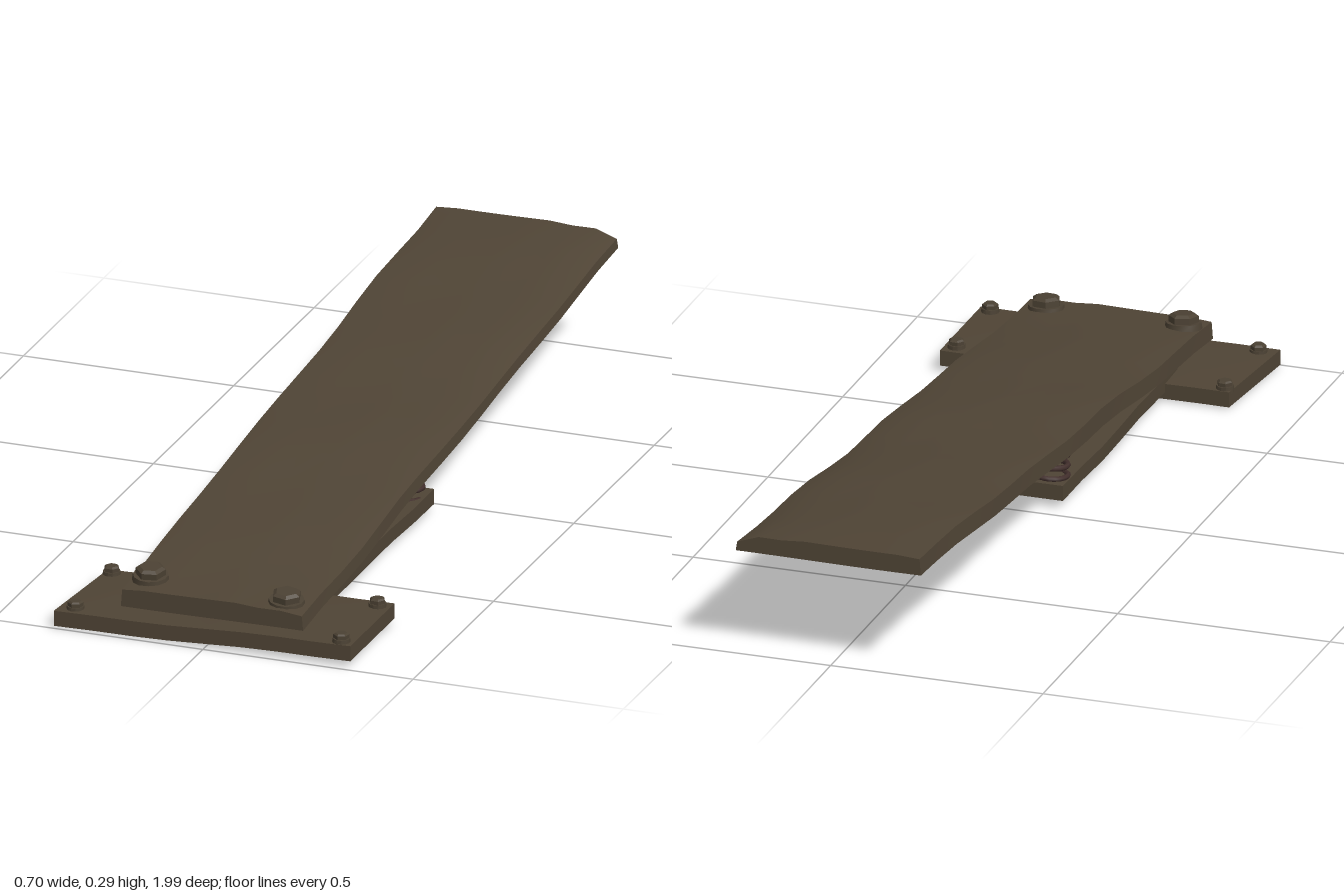
import * as THREE from 'three';
import { toCreasedNormals } from 'three/addons/utils/BufferGeometryUtils.js';

const brown = new THREE.MeshStandardMaterial({ color: 0x4f4435 });
brown.name = 'worn brown';
const bolts = new THREE.MeshStandardMaterial({ color: 0x4b4133 });
bolts.name = 'bolt brown';
const rust = new THREE.MeshStandardMaterial({ color: 0x43302d });
rust.name = 'dark rust';

// Subdivided box whose vertices are moved by a rule
function slab(name, w, h, d, nx, nz, rule) {
  const g = new THREE.BoxGeometry(w, h, d, nx, 1, nz);
  const p = g.attributes.position;
  const v = new THREE.Vector3();
  for (let i = 0; i < p.count; i++) {
    rule(v.fromBufferAttribute(p, i));
    p.setXYZ(i, v.x, v.y, v.z);
  }
  const mesh = new THREE.Mesh(toCreasedNormals(g, 0.5), brown);
  mesh.name = name;
  return mesh;
}

// Hexagonal head on a round flange
function bolt(name, headR, headH, flangeR, flangeH) {
  const group = new THREE.Group();
  group.name = name;
  const add = (part, r0, r1, h, n, y) => {
    const g = toCreasedNormals(new THREE.CylinderGeometry(r0, r1, h, n), 0.6);
    const m = new THREE.Mesh(g, bolts);
    m.name = part;
    m.position.y = y + h / 2;
    group.add(m);
  };
  add('washer', flangeR * 0.93, flangeR, flangeH + 0.01, 12, -0.01);
  add('hexHead', headR, headR, headH * 0.7, 6, flangeH);
  add('headCrown', headR * 0.75, headR, headH * 0.3, 6, flangeH + headH * 0.7);
  return group;
}

const plankBottom = (z) => 0.064 + (0.96 - z) * 0.0955;

// Coil wound around the vertical axis
class Coil extends THREE.Curve {
  getPoint(t, out = new THREE.Vector3()) {
    const a = t * Math.PI * 2 * 4;
    return out.set(0.041 * Math.cos(a), 0.05 + 0.1 * t, 0.041 * Math.sin(a));
  }
}

export function createModel() {
  const model = new THREE.Group();
  model.name = 'pedal';

  // Long sloping plank, slightly warped, with worn long edges
  model.add(slab('plank', 0.436, 0.044, 1.96, 8, 16, (v) => {
    const edge = Math.abs(v.x) > 0.2;
    const top = v.y > 0;
    const back = (0.98 - v.z) / 1.96;
    v.z -= 0.02;
    const wave = 0.003 * Math.sin(v.z * 7) + 0.002 * Math.sin(v.z * 13 + v.x * 9);
    v.y = plankBottom(v.z) + (top ? 0.044 : 0) + wave * (top ? 1 : 0.6);
    if (top && edge) v.y -= v.x > 0 ? 0.006 + 0.012 * back : 0.004;
    if (top && v.x > 0.1) v.y -= 0.005;
    v.x += 0.006 + (edge ? 0.003 * Math.sin(v.z * 11 + v.x * 8) : 0);
    if (top && edge) v.x *= 0.985;
  }));

  // Mounting plate, gently twisted, narrower on one back corner
  model.add(slab('basePlate', 0.69, 0.04, 0.275, 8, 3, (v) => {
    const rim = Math.abs(v.x) > 0.3 || Math.abs(v.z) > 0.13;
    const top = v.y > 0;
    const side = v.x / 0.345;
    if (v.x < -0.3) v.x -= 0.012 * (v.z / 0.1375);
    v.y += 0.034 + 0.008 * side + 0.002 * Math.sin(v.x * 14);
    if (rim) v.y += top ? -0.004 : 0.004;
    if (!top) v.y -= 0.004;
    v.z += 0.852 - 0.004 * side;
  }));

  for (const s of [1, -1]) {
    const side = s > 0 ? 'left' : 'right';

    // Flat arm running back beneath the plank
    model.add(slab(side + 'Arm', 0.122, 0.034, 0.76, 2, 6, (v) => {
      const top = v.y > 0;
      v.x += s * 0.121 + 0.002 * Math.sin(v.z * 15);
      v.y += 0.041 + 0.002 * Math.sin(v.z * 9 + s);
      v.z += 0.42;
      if (!top && v.z < 0.1) v.y -= 0.002;
    }));

    // Spring between arm and plank
    const spring = new THREE.Mesh(new THREE.TubeGeometry(new Coil(), 80, 0.0065, 6), rust);
    spring.name = side + 'Spring';
    spring.position.set(s * 0.132, 0, 0.09);
    model.add(spring);

    // Large bolt through the plank
    const big = bolt(side + 'PlankBolt', 0.034, 0.02, 0.043, 0.008);
    const z = s > 0 ? 0.908 : 0.895;
    big.position.set(s * 0.164, plankBottom(z) + (s > 0 ? 0.038 : 0.045), z);
    big.rotation.set(0.095, s * 0.3, -0.04);
    model.add(big);

    // Small bolts at the plate corners
    for (const bz of [0.74, 0.965]) {
      const small = bolt(side + 'PlateBolt', 0.018, 0.012, 0.021, 0.005);
      small.position.set(s * 0.316, s > 0 ? 0.06 : 0.047, bz);
      small.rotation.y = bz * 2;
      model.add(small);
    }
  }
  return model;
}
